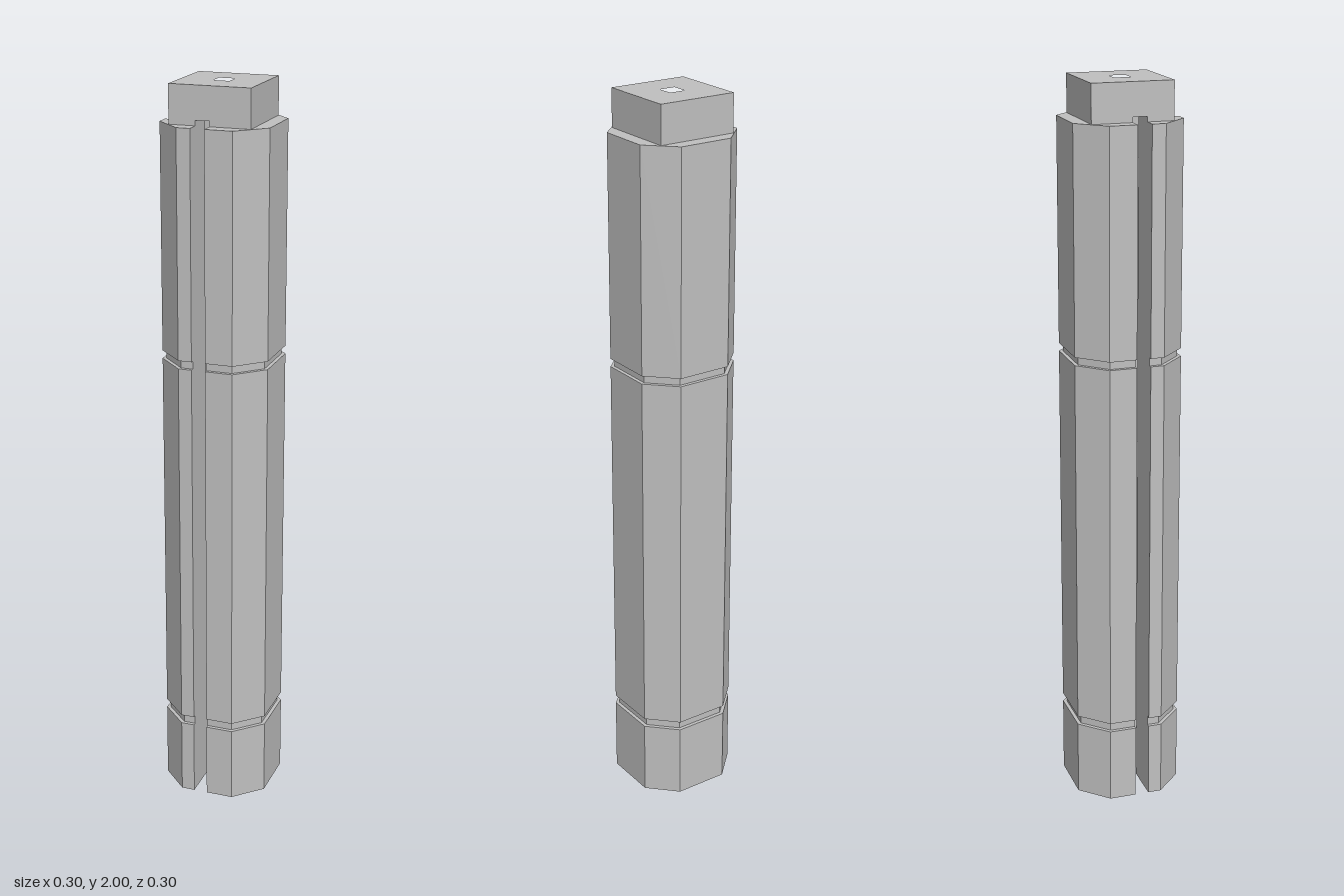
import * as THREE from 'three';

const HOLE = 0.022;   // half width of the central bore
const SLOT = 0.038;   // width of the two side slots

// Shape from [x, z] points; skips repeated corners
function outline(points) {
  const clean = points.filter((p, i) => i === 0 || p[0] !== points[i - 1][0] || p[1] !== points[i - 1][1]);
  return new THREE.Shape(clean.map(([x, z]) => new THREE.Vector2(x, -z)));
}

// Chamfered square minus the bore, the two slots and the corner between them
const mainOutline = (h, c) => outline([
  [0, h], [c, h], [h, c], [h, -c], [c, -h], [-c, -h], [-h, -c], [-h, 0],
  [-HOLE, 0], [-HOLE, -HOLE], [HOLE, -HOLE], [HOLE, HOLE], [0, HOLE],
]);

// Corner standing free between the two slots
const cornerOutline = (h, c) => outline([
  [-SLOT, SLOT], [-SLOT, h], [-c, h], [-h, c], [-h, SLOT],
]);

export function createModel() {
  const model = new THREE.Group();
  model.name = 'slottedColumn';
  const grey = new THREE.MeshStandardMaterial({ color: 0xc0c0c0 });
  grey.name = 'grey';

  function prism(name, shape, y0, y1) {
    const geo = new THREE.ExtrudeGeometry(shape, { depth: y1 - y0, bevelEnabled: false });
    geo.rotateX(-Math.PI / 2);
    const mesh = new THREE.Mesh(geo, grey);
    mesh.name = name;
    mesh.position.y = y0;
    model.add(mesh);
  }

  // Stacked sections: name, bottom, top, half width, half flat
  const sections = [
    ['base', 0, 0.212, 0.148, 0.075],
    ['lowerGroove', 0.212, 0.237, 0.138, 0.071],
    ['middleShaft', 0.237, 1.266, 0.148, 0.075],
    ['upperGroove', 1.266, 1.288, 0.138, 0.071],
    ['upperShaft', 1.288, 1.898, 0.148, 0.075],
    ['pegFoot', 1.898, 1.912, 0.11, 0.11],
  ];
  for (const [name, y0, y1, h, c] of sections) {
    prism(name, mainOutline(h, c), y0, y1);
    prism(name + 'Corner', cornerOutline(h, c), y0, y1);
  }

  // Square peg closing the slots, pierced by the bore
  const square = (s) => [[-s, -s], [s, -s], [s, s], [-s, s]];
  const peg = outline(square(0.11));
  peg.holes.push(outline(square(HOLE)));
  prism('peg', peg, 1.912, 2);

  return model;
}
